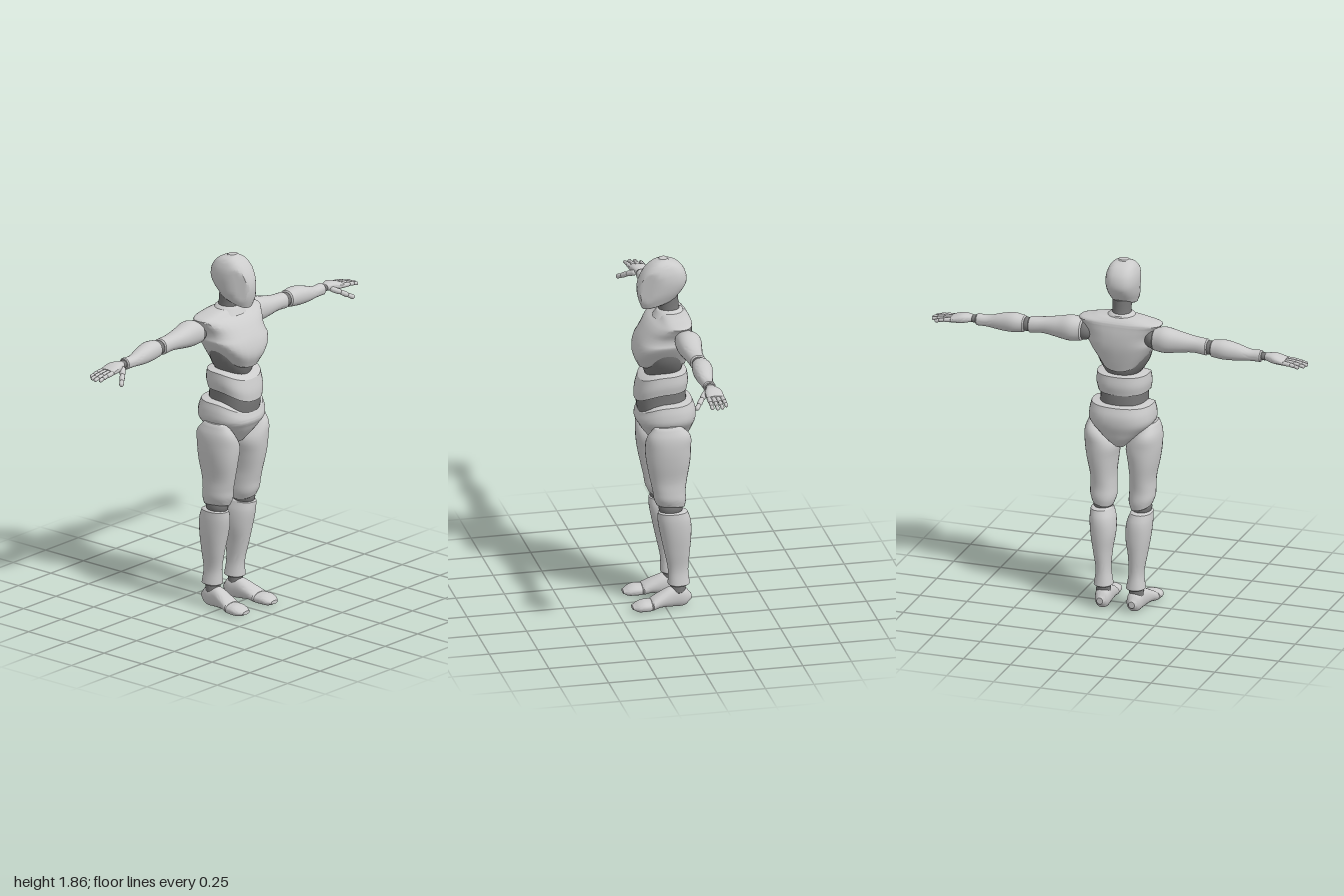
import * as THREE from 'three';
import { toCreasedNormals } from 'three/addons/utils/BufferGeometryUtils.js';

const shell = new THREE.MeshStandardMaterial({ color: 0xcccccc });
const joint = new THREE.MeshStandardMaterial({ color: 0x777777 });
const clamp = THREE.MathUtils.clamp;

// Lofts smooth super-elliptic rings along an axis. Section: [t, aMin, aMax, bMin, bMax].
// The pair (a, b) is (x, z) along y, (y, z) along x and (x, y) along z.
function loft(name, axis, sections, { mat = shell, p = 2.4, side = 1, warp = null, seg = 28 } = {}) {
  const spline = new THREE.CubicInterpolant(sections.map(s => s[0]), sections.flatMap(s => s.slice(1)), 4, new Float32Array(4));
  const rows = [];
  for (let i = 0; i < sections.length - 1; i++)
    for (let k = 0; k < 4; k++) {
      const t = THREE.MathUtils.lerp(sections[i][0], sections[i + 1][0], k / 4);
      rows.push([t, ...spline.evaluate(t)]);
    }
  rows.push(sections[sections.length - 1]);
  // bevelled ends
  const inset = ([t, a0, a1, b0, b1], dt) => {
    const da = (a1 - a0) * 0.08, db = (b1 - b0) * 0.08;
    return [t + dt, a0 + da, a1 - da, b0 + db, b1 - db];
  };
  rows.unshift(inset(rows[0], -0.006));
  rows.push(inset(rows[rows.length - 1], 0.006));

  const pos = [], idx = [], v = new THREE.Vector3();
  const put = (t, a, b) => {
    if (axis === 'y') v.set(a, t, b);
    else if (axis === 'x') v.set(t, a, b);
    else v.set(a, b, t);
    if (warp) warp(v);
    pos.push(v.x * side, v.y, v.z);
  };
  const sp = c => Math.sign(c) * Math.abs(c) ** (2 / p);
  for (const [t, a0, a1, b0, b1] of rows)
    for (let j = 0; j < seg; j++) {
      const q = j / seg * Math.PI * 2;
      put(t, (a0 + a1) / 2 + sp(Math.cos(q)) * (a1 - a0) / 2, (b0 + b1) / 2 + sp(Math.sin(q)) * (b1 - b0) / 2);
    }
  const n = rows.length;
  for (const [t, a0, a1, b0, b1] of [rows[0], rows[n - 1]]) put(t, (a0 + a1) / 2, (b0 + b1) / 2);
  for (let j = 0; j < seg; j++) {
    const j2 = (j + 1) % seg, last = (n - 1) * seg;
    for (let i = 0; i < n - 1; i++) {
      const a = i * seg + j, b = i * seg + j2;
      idx.push(a, a + seg, b, b, a + seg, b + seg);
    }
    idx.push(n * seg, j, j2, n * seg + 1, last + j2, last + j);
  }
  // turn the faces outward
  if ((axis === 'y') !== (side > 0)) idx.reverse();
  const g = new THREE.BufferGeometry();
  g.setAttribute('position', new THREE.Float32BufferAttribute(pos, 3));
  g.setIndex(idx);
  const mesh = new THREE.Mesh(toCreasedNormals(g, Math.PI / 6), mat);
  mesh.name = name;
  return mesh;
}

const sym = rows => rows.map(([t, r, z0, z1]) => [t, -r, r, z0, z1]);

function ball(name, x, y, z, sx, sy, sz) {
  const m = new THREE.Mesh(new THREE.SphereGeometry(1, 20, 14), joint);
  m.name = name;
  m.position.set(x, y, z);
  m.scale.set(sx, sy, sz);
  return m;
}

function bone(name, a, b, r) {
  const d = b.clone().sub(a), len = d.length();
  const m = new THREE.Mesh(new THREE.CapsuleGeometry(r, Math.max(0.004, len - r * 1.3), 4, 10), shell);
  m.name = name;
  m.position.copy(a).add(b).multiplyScalar(0.5);
  m.quaternion.setFromUnitVectors(new THREE.Vector3(0, 1, 0), d.normalize());
  return m;
}

function makeTorso() {
  const g = new THREE.Group();
  g.name = 'torso';
  g.add(loft('head', 'y', sym([
    [1.625, 0.052, -0.075, 0.1], [1.67, 0.07, -0.105, 0.118], [1.72, 0.08, -0.124, 0.124],
    [1.77, 0.082, -0.126, 0.108], [1.815, 0.072, -0.106, 0.078], [1.845, 0.052, -0.068, 0.04], [1.856, 0.03, -0.035, 0.015],
  ]), {
    p: 2.6,
    warp: v => { // sloping jaw, planed cheeks meeting a narrow face
      v.y -= (v.z - 0.02) * 0.3 * clamp((1.74 - v.y) / 0.11, 0, 1);
      v.x = Math.sign(v.x) * Math.min(Math.abs(v.x), 0.03 + (0.124 - v.z) * 0.5);
    },
  }));
  g.add(loft('neck', 'y', sym([[1.56, 0.052, -0.1, 0.012], [1.6, 0.048, -0.09, 0.016], [1.66, 0.048, -0.085, 0.025]]), { mat: joint, p: 2 }));
  g.add(loft('collar', 'y', sym([[1.55, 0.1, -0.122, 0.045], [1.585, 0.062, -0.108, 0.024]]), { p: 2 }));
  g.add(loft('chest', 'y', sym([
    [1.29, 0.105, -0.115, 0.118], [1.35, 0.155, -0.13, 0.143], [1.42, 0.18, -0.143, 0.132],
    [1.48, 0.178, -0.145, 0.1], [1.53, 0.205, -0.14, 0.06], [1.555, 0.212, -0.135, 0.025], [1.572, 0.14, -0.12, 0.01],
  ]), {
    p: 2.7, // lower rim arches up at the sides
    warp: v => { v.y += 0.1 * (v.x / 0.18) ** 2 * clamp((1.45 - v.y) / 0.16, 0, 1); },
  }));
  g.add(loft('ribcage', 'y', sym([
    [1.235, 0.06, -0.085, 0.08], [1.28, 0.1, -0.105, 0.096], [1.34, 0.135, -0.11, 0.105], [1.41, 0.15, -0.105, 0.1],
  ]), { mat: joint, p: 2.2 }));
  const dip = (amount, y0, y1) => v => {
    v.y -= amount * (Math.max(0, v.z) / 0.13) ** 2 * clamp((v.y - y0) / (y1 - y0), 0, 1);
  };
  g.add(loft('abdomen', 'y', sym([
    [1.165, 0.128, -0.125, 0.138], [1.21, 0.137, -0.132, 0.135], [1.262, 0.134, -0.125, 0.118],
  ]), { warp: dip(0.045, 1.0, 1.16) }));
  g.add(loft('waist', 'y', sym([[1.03, 0.125, -0.12, 0.12], [1.11, 0.118, -0.122, 0.127], [1.2, 0.118, -0.115, 0.12]]), { mat: joint }));
  g.add(loft('pelvis', 'y', sym([
    [0.88, 0.03, -0.1, 0.045], [0.92, 0.075, -0.138, 0.08], [0.965, 0.125, -0.155, 0.112],
    [1.01, 0.165, -0.168, 0.13], [1.06, 0.168, -0.168, 0.134], [1.105, 0.158, -0.152, 0.122],
  ]), { warp: dip(0.06, 0.98, 1.1) }));
  return g;
}

function makeLeg(side) {
  const g = new THREE.Group();
  g.name = side > 0 ? 'leftLeg' : 'rightLeg';
  g.add(ball('hipJoint', 0.1 * side, 0.95, -0.01, 0.07, 0.06, 0.08));
  g.add(loft('thigh', 'y', [
    [0.555, 0.05, 0.156, -0.095, 0.045], [0.59, 0.038, 0.167, -0.102, 0.06], [0.64, 0.04, 0.168, -0.1, 0.067],
    [0.7, 0.042, 0.168, -0.107, 0.08], [0.8, 0.032, 0.187, -0.122, 0.1], [0.88, 0.024, 0.197, -0.126, 0.107],
    [0.95, 0.072, 0.195, -0.117, 0.1], [1.0, 0.115, 0.178, -0.07, 0.07],
  ], {
    side, p: 2.2, // knee end hangs lower at the outer front
    warp: v => { v.y -= clamp((0.66 - v.y) / 0.1, 0, 1) * ((v.x - 0.1) * -0.25 + (v.z + 0.02) * -0.12); },
  }));
  g.add(ball('kneeJoint', 0.103 * side, 0.55, -0.025, 0.05, 0.055, 0.062));
  g.add(loft('shin', 'y', [
    [0.125, 0.038, 0.134, -0.126, -0.015], [0.2, 0.05, 0.125, -0.118, -0.015], [0.3, 0.046, 0.14, -0.125, 0.005],
    [0.4, 0.031, 0.156, -0.132, 0.026], [0.48, 0.036, 0.162, -0.127, 0.04], [0.525, 0.052, 0.16, -0.11, 0.04],
  ], { side, p: 2.2 }));
  g.add(loft('ankle', 'y', [[0.085, 0.05, 0.126, -0.104, -0.027], [0.135, 0.05, 0.122, -0.105, -0.03]], { side, mat: joint, p: 2 }));
  const ground = v => { v.y = Math.max(v.y, 0.004); };
  g.add(loft('foot', 'z', [
    [-0.127, 0.066, 0.104, 0.03, 0.07], [-0.105, 0.049, 0.12, 0.008, 0.1], [-0.04, 0.047, 0.13, 0.004, 0.113],
    [0.03, 0.05, 0.148, 0.01, 0.085], [0.072, 0.053, 0.16, 0.003, 0.062],
  ], { side, p: 2.2, warp: ground }));
  g.add(loft('toeCap', 'z', [
    [0.08, 0.056, 0.161, 0.002, 0.056], [0.12, 0.059, 0.163, 0.001, 0.056], [0.15, 0.066, 0.154, 0.003, 0.046], [0.168, 0.078, 0.138, 0.012, 0.034],
  ], { side, p: 2.2, warp: ground }));
  return g;
}

function makeArm(side) {
  const g = new THREE.Group();
  g.name = side > 0 ? 'leftArm' : 'rightArm';
  g.add(ball('shoulderJoint', 0.185 * side, 1.48, -0.08, 0.05, 0.05, 0.05));
  g.add(loft('upperArm', 'x', [
    [0.195, 1.425, 1.54, -0.14, -0.025], [0.25, 1.42, 1.55, -0.15, -0.022], [0.32, 1.428, 1.535, -0.138, -0.026],
    [0.4, 1.438, 1.52, -0.124, -0.036], [0.47, 1.432, 1.515, -0.124, -0.042],
  ], { side, p: 2.2 }));
  g.add(ball('elbowJoint', 0.487 * side, 1.473, -0.084, 0.04, 0.036, 0.036));
  g.add(loft('forearm', 'x', [
    [0.503, 1.43, 1.515, -0.13, -0.042], [0.56, 1.424, 1.522, -0.135, -0.033], [0.63, 1.424, 1.508, -0.122, -0.035],
    [0.7, 1.43, 1.488, -0.106, -0.044], [0.755, 1.43, 1.49, -0.106, -0.044],
  ], { side, p: 2.2 }));
  g.add(ball('wristJoint', 0.772 * side, 1.461, -0.075, 0.03, 0.02, 0.024));
  g.add(loft('palm', 'x', [
    [0.785, 1.444, 1.48, -0.1, -0.05], [0.83, 1.436, 1.484, -0.12, -0.034], [0.885, 1.434, 1.468, -0.123, -0.031],
  ], { side, seg: 20 }));
  // four fingers of three bones, then the thumb
  const chain = (name, pts, r) => {
    for (let i = 0; i < pts.length - 1; i++) {
      const [a, b] = [pts[i], pts[i + 1]].map(p => new THREE.Vector3(p[0] * side, p[1], p[2]));
      g.add(bone(name, a, b, r * (1 - 0.1 * i)));
    }
  };
  [0.105, 0.115, 0.108, 0.085].forEach((len, i) => {
    const z = -0.043 - i * 0.0225, spread = (1.5 - i) * 0.003;
    chain('finger', [0, 0.45, 0.75, 1].map(f => [0.883 + len * f, 1.451 - 0.014 * f * f, z + spread * f]), 0.0118);
  });
  chain('thumb', [[0.8, 1.455, -0.05], [0.838, 1.435, -0.018], [0.868, 1.416, 0.004], [0.893, 1.402, 0.022]], 0.015);
  return g;
}

export function createModel() {
  const model = new THREE.Group();
  model.name = 'jointedFigure';
  model.add(makeTorso());
  for (const side of [1, -1]) model.add(makeLeg(side), makeArm(side));
  return model;
}
